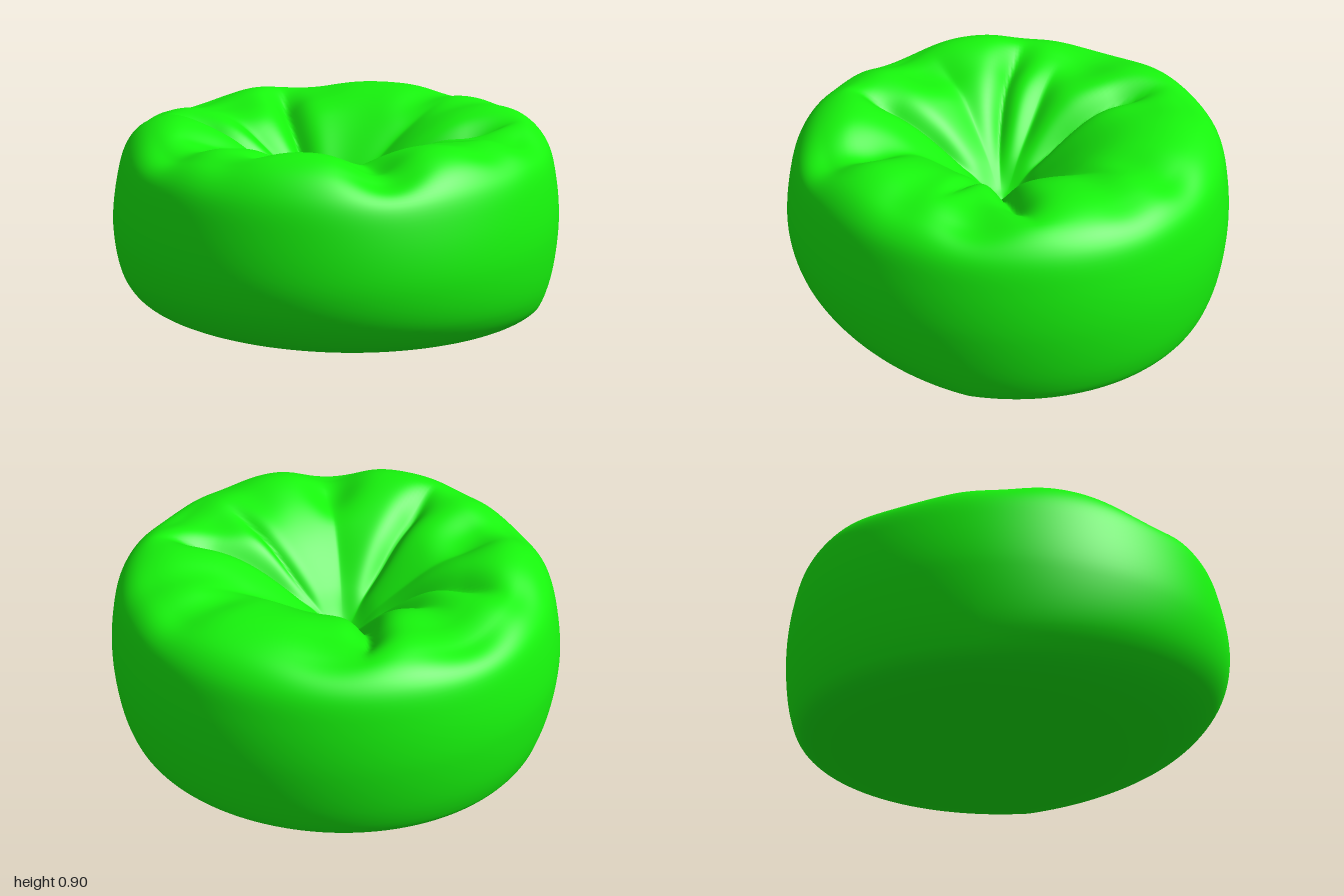
import * as THREE from 'three';
import { mergeVertices } from 'three/addons/utils/BufferGeometryUtils.js';

const { smoothstep, lerp, degToRad } = THREE.MathUtils;
const RINGS = 112, SEGMENTS = 288;

// Smooth profile from the bottom centre, round the side, into the seat hollow
function profile(lower, shoulder) {
  const hollow = [[0.54, 0.86], [0.36, 0.765], [0.17, 0.595], [0.06, 0.465], [0, 0.425]];
  const curve = new THREE.CatmullRomCurve3(
    [...lower, [1, 0.4], ...shoulder, ...hollow].map(([r, y]) => new THREE.Vector3(r, y, 0)));
  return Array.from({ length: RINGS + 1 }, (_, j) => {
    const p = curve.getPoint(j / RINGS);
    return new THREE.Vector2(Math.max(p.x, 0), p.y);
  });
}

// Folds: end angle from +x towards +z, bend towards the centre, depth, width, outer radius
const folds = [
  [-100, -16, 0.11, 0.07, 0.86],
  [202, -18, 0.08, 0.065, 0.8],
  [124, 0, 0.1, 0.06, 0.8],
  [6, 16, 0.11, 0.07, 0.86],
  [39, -12, 0.04, 0.04, 0.75],
  [165, 4, 0.05, 0.11, 0.8],
  [80, 6, 0.03, 0.09, 0.85],
  [-31, 0, 0.045, 0.1, 0.7],
  [218, 0, 0.06, 0.08, 0.65],
];

// Dips along the rim: angle, depth, half width in degrees
const dips = [
  [84, 0.08, 11], [-92, 0.035, 14], [25, 0.055, 12], [155, 0.07, 13], [-21, 0.02, 9],
  [200, 0.025, 9], [47, 0.025, 9], [-41, 0.035, 9], [131, 0.025, 9], [226, 0.07, 17],
];

const angleBetween = (a, b) => Math.abs(Math.atan2(Math.sin(a - b), Math.cos(a - b)));

function sag(angle, r) {
  let sum = 0;
  for (const [end, bend, depth, width, rEnd] of folds) {
    const d = angleBetween(angle, degToRad(end + bend * (1 - r / rEnd)));
    const s = d * r / (width * (0.4 + r));
    const along = smoothstep(r, 0.02, 0.35) * (1 - smoothstep(r, rEnd - 0.28, rEnd));
    sum += depth * along * Math.exp(-Math.pow(s, 1.4));
  }
  const rim = smoothstep(r, 0.4, 0.68) * (1 - smoothstep(r, 0.8, 0.99));
  for (const [at, depth, width] of dips) {
    const d = angleBetween(angle, degToRad(at)) / degToRad(width);
    sum += depth * rim * Math.exp(-d * d);
  }
  return sum;
}

function bagGeometry() {
  const tight = profile([[0, 0.015], [0.5, 0.015], [0.84, 0.022], [0.925, 0.06], [0.97, 0.16]],
    [[0.985, 0.62], [0.945, 0.77], [0.87, 0.85], [0.73, 0.888]]);
  const slack = profile([[0, 0.015], [0.42, 0.018], [0.67, 0.045], [0.85, 0.12], [0.96, 0.245]],
    [[0.975, 0.62], [0.925, 0.77], [0.84, 0.86], [0.71, 0.9]]);
  const geometry = new THREE.LatheGeometry(tight, SEGMENTS);
  const pos = geometry.attributes.position;
  for (let i = 0; i < pos.count; i++) {
    const j = i % (RINGS + 1);
    const phi = (Math.floor(i / (RINGS + 1)) % SEGMENTS) / SEGMENTS * Math.PI * 2;
    const angle = Math.PI / 2 - phi;
    const c = Math.cos(angle), s = Math.sin(angle);
    const upper = tight[j].y > 0.4;
    // Below, the edge is rounder at the front right; above, the shoulder is fuller at the back left
    const w = upper ? 0.5 + 0.5 * Math.cos(angle - degToRad(135))
      : Math.max(0, Math.cos(angle - degToRad(115)));
    const r = lerp(tight[j].x, slack[j].x, w);
    let y = lerp(tight[j].y, slack[j].y, w);
    if (upper) y -= sag(angle, r);
    const shift = upper ? 1 - r : 0;
    // Outline slightly fuller at the back right than at the front left
    const out = r * (1 - 0.024 * c * s * (c + s));
    const x = out * c, z = out * s;
    // Slight sag under the back right
    if (y < 0.1) y -= 0.014 * Math.exp(-((x + 0.4) ** 2 + (z + 0.4) ** 2) / 0.12);
    pos.setXYZ(i, x - 0.03 * shift, y, z * 0.988 + 0.02 * shift);
  }
  // Close the seam for continuous smooth normals
  geometry.deleteAttribute('uv');
  geometry.deleteAttribute('normal');
  const closed = mergeVertices(geometry, 1e-5);
  closed.computeVertexNormals();
  return closed;
}

export function createModel() {
  const group = new THREE.Group();
  group.name = 'beanBag';
  const bag = new THREE.Mesh(bagGeometry(), new THREE.MeshStandardMaterial({ color: 0x17f50d }));
  bag.name = 'bag';
  group.add(bag);
  return group;
}
